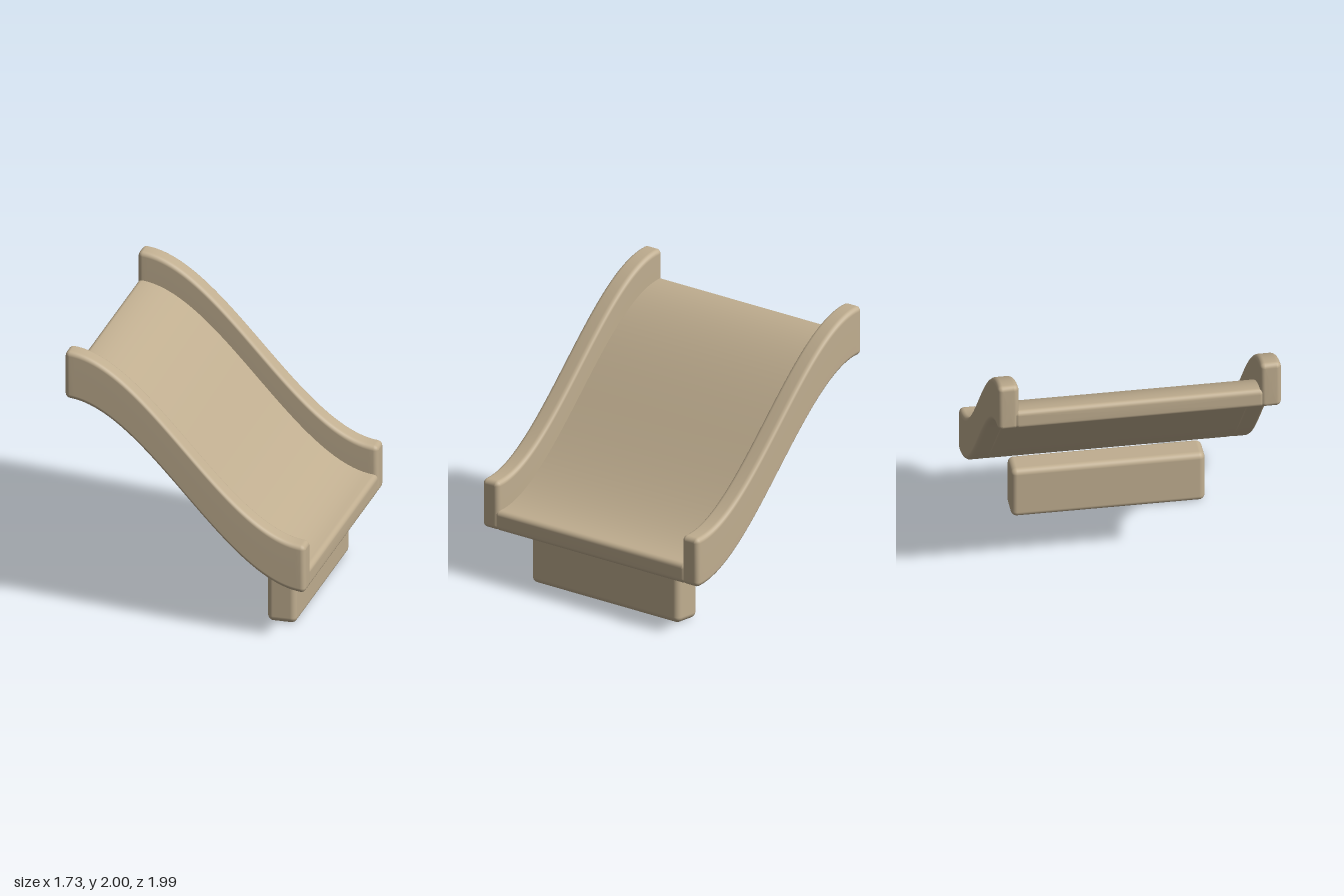
import * as THREE from 'three';
import { RoundedBoxGeometry } from 'three/addons/geometries/RoundedBoxGeometry.js';

const HALF = 0.865; // half length of the run along x

// Underside height of the S-shaped run at x
function runHeight(x) {
  const u = x / HALF;
  return 1.01 - 0.635 * (1.5 * u - 0.5 * u * u * u);
}

// Bar with rounded edges and ends, swept along the run
function sweptBar(width, height, r) {
  const bevel = 5, spans = 48, corner = 5;
  const stations = [];
  for (let k = 0; k <= bevel; k++) {
    const t = (k / bevel) * Math.PI / 2;
    stations.push([-HALF + r * (1 - Math.cos(t)), r * (1 - Math.sin(t))]);
  }
  for (let k = 1; k < spans; k++) stations.push([(-1 + 2 * k / spans) * (HALF - r), 0]);
  for (let k = bevel; k >= 0; k--) stations.push([-stations[k][0], stations[k][1]]);

  const pos = [], index = [], n = 4 * (corner + 1);
  for (const [x, inset] of stations) {
    const cr = r - inset;
    for (let q = 0; q < 4; q++) {
      const sz = q === 0 || q === 3 ? 1 : -1, sy = q < 2 ? 1 : -1;
      for (let c = 0; c <= corner; c++) {
        const a = (q + c / corner) * Math.PI / 2;
        pos.push(
          x,
          runHeight(x) + height / 2 + sy * (height / 2 - r) + cr * Math.sin(a),
          sz * (width / 2 - r) + cr * Math.cos(a));
      }
    }
  }
  const last = stations.length - 1;
  for (let i = 0; i < last; i++) {
    for (let j = 0; j < n; j++) {
      const a = i * n + j, b = i * n + (j + 1) % n;
      index.push(a, a + n, b, b, a + n, b + n);
    }
  }
  // End caps
  const c0 = pos.length / 3;
  for (const x of [-HALF, HALF]) pos.push(x, runHeight(x) + height / 2, 0);
  for (let j = 0; j < n; j++) {
    const k = (j + 1) % n;
    index.push(c0, j, k, c0 + 1, last * n + k, last * n + j);
  }
  const geo = new THREE.BufferGeometry();
  geo.setAttribute('position', new THREE.Float32BufferAttribute(pos, 3));
  geo.setIndex(index);
  geo.computeVertexNormals();
  return geo;
}

export function createModel() {
  const group = new THREE.Group();
  const tan = new THREE.MeshStandardMaterial({ color: 0xc0ae90 });
  tan.name = 'tan';

  const add = (name, geo, x, y, z) => {
    const mesh = new THREE.Mesh(geo, tan);
    mesh.name = name;
    mesh.position.set(x, y, z);
    group.add(mesh);
  };

  // Sliding surface
  add('chute', sweptBar(1.76, 0.145, 0.035), 0, 0, 0);

  // Side rails
  const rail = sweptBar(0.148, 0.355, 0.035);
  add('frontRail', rail, 0, 0, 0.921);
  add('backRail', rail, 0, 0, -0.921);

  // Support block under the low end
  add('supportBlock', new RoundedBoxGeometry(0.21, 0.39, 1.36, 5, 0.042), 0.607, 0.195, 0);

  return group;
}
